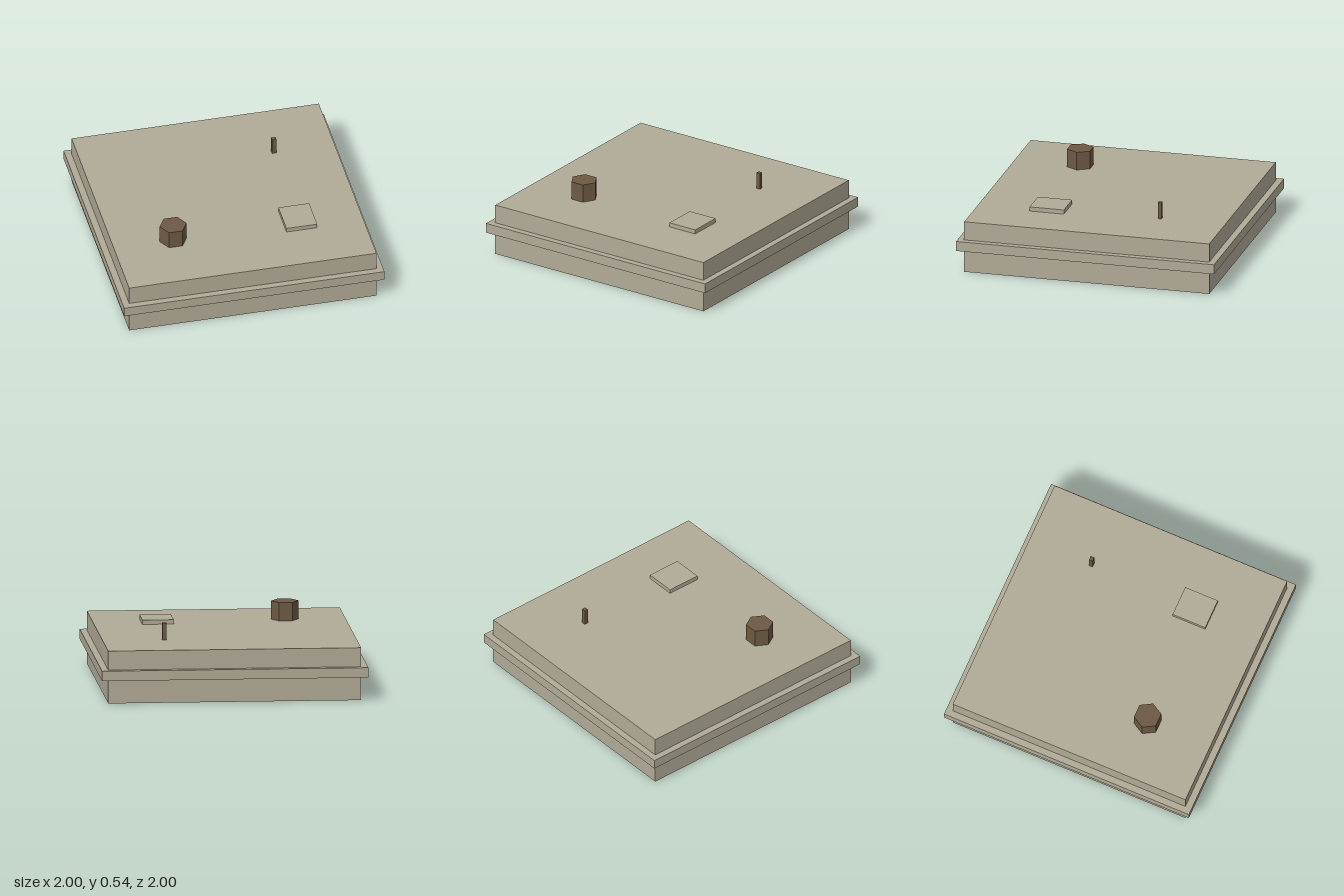
import * as THREE from 'three';

export function createModel() {
  const model = new THREE.Group();
  const stone = new THREE.MeshStandardMaterial({ color: 0xb1aa97, flatShading: true });
  stone.name = 'stone';
  const wood = new THREE.MeshStandardMaterial({ color: 0x6e5a44, flatShading: true });
  wood.name = 'wood';

  // Places a part with its underside at height y
  const add = (name, geometry, material, height, x, y, z) => {
    const mesh = new THREE.Mesh(geometry, material);
    mesh.name = name;
    mesh.position.set(x, y + height / 2, z);
    model.add(mesh);
    return mesh;
  };
  const box = (name, material, w, h, d, x, y, z) =>
    add(name, new THREE.BoxGeometry(w, h, d), material, h, x, y, z);

  // Square slab with a projecting band around its middle
  const top = 0.397;
  box('slab', stone, 1.9, top, 1.9, 0, 0, 0);
  box('band', stone, 2, 0.075, 2, 0, 0.178, 0);

  // Low plate, thin post and hexagonal block standing on the slab
  box('plate', stone, 0.236, 0.033, 0.266, 0.472, top, 0.408);
  box('post', wood, 0.033, 0.127, 0.029, 0.486, top, -0.444);
  const hexagon = new THREE.CylinderGeometry(0.103, 0.103, 0.14, 6);
  hexagon.rotateY(Math.PI / 6);
  add('hexagonalBlock', hexagon, wood, 0.14, -0.494, top, 0.442);

  return model;
}
